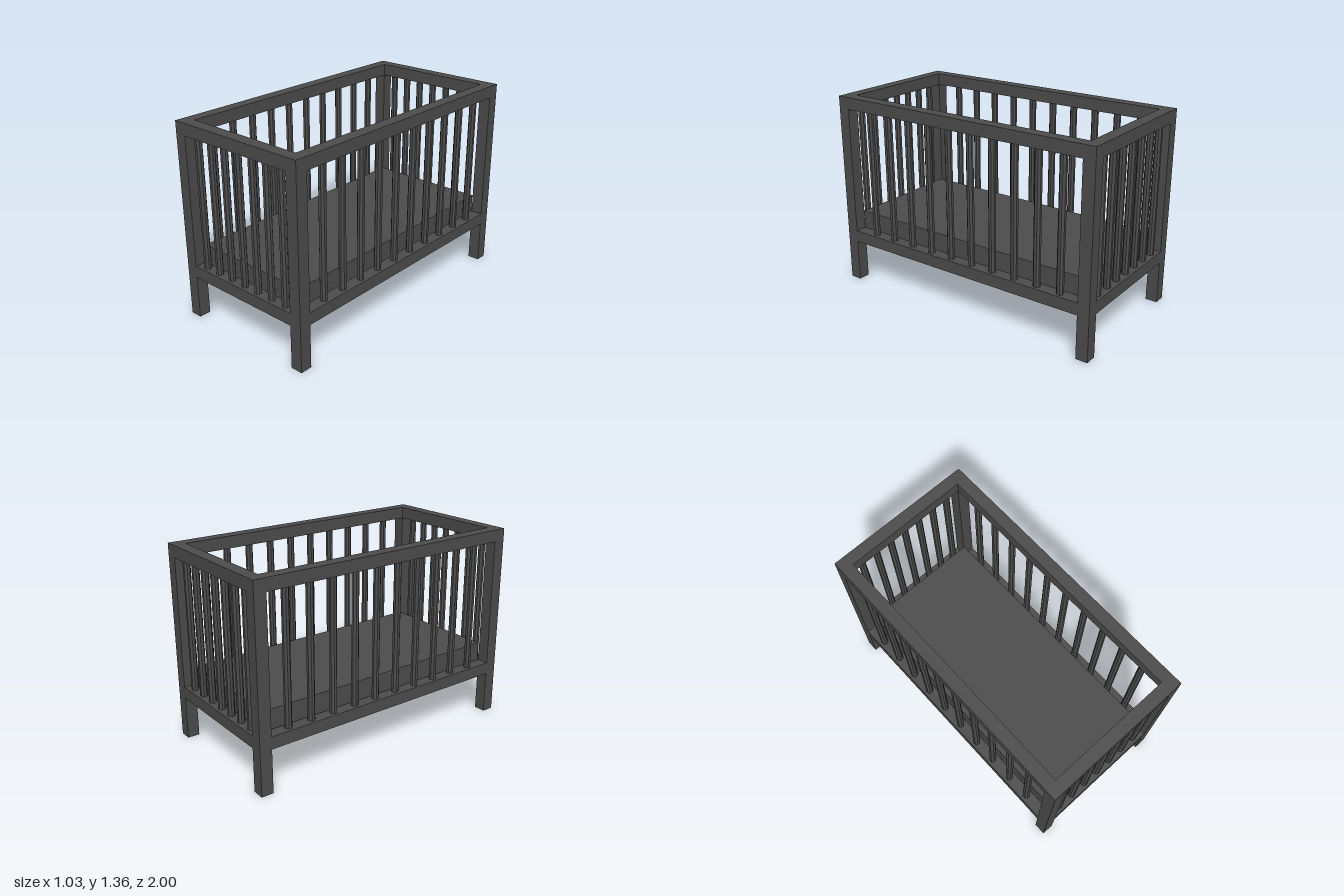
import * as THREE from 'three';

export function createModel() {
  const crib = new THREE.Group();
  crib.name = 'crib';
  const material = new THREE.MeshStandardMaterial({ color: 0x4d4d4d, flatShading: true });

  const W = 0.515, D = 1, H = 1.357;   // half width, half depth, height
  const T = 0.083;                     // post and rail thickness
  const px = W - T / 2, pz = D - T / 2; // post centre lines
  const railY = 0.298;                 // underside of the lower rails

  const add = (name, geometry, x, y, z) => {
    const mesh = new THREE.Mesh(geometry, material);
    mesh.name = name;
    mesh.position.set(x, y, z);
    crib.add(mesh);
  };

  // Corner posts
  const post = new THREE.BoxGeometry(T, H, T);
  for (const sx of [-1, 1]) for (const sz of [-1, 1]) add('cornerPost', post, sx * px, H / 2, sz * pz);

  // Upper and lower rails between the posts
  const sideRail = new THREE.BoxGeometry(T, T, 2 * (D - T));
  const endRail = new THREE.BoxGeometry(2 * (W - T), T, T);
  for (const [level, y] of [['upper', H - T / 2], ['lower', railY + T / 2]]) {
    for (const s of [-1, 1]) {
      add(level + 'SideRail', sideRail, s * px, y, 0);
      add(level + 'EndRail', endRail, 0, y, s * pz);
    }
  }

  // Eight-sided slats, running from the lower to the upper rails
  const slatBottom = railY + T, slatTop = H - T;
  const slat = new THREE.CylinderGeometry(0.0243, 0.0243, slatTop - slatBottom, 8);
  slat.rotateY(Math.PI / 8);
  const slatY = (slatBottom + slatTop) / 2;
  for (const s of [-1, 1]) {
    for (let i = 0; i < 10; i++) add('sideSlat', slat, s * px, slatY, 0.755 - i * 0.1695);
    for (let i = 0; i < 7; i++) add('endSlat', slat, 0.119 * (i - 3) - 0.002, slatY, s * pz);
  }

  // Mattress, its underside set slightly above the bottom of the rails
  const bottom = 0.315, top = 0.51;
  add('mattress', new THREE.BoxGeometry(0.856, top - bottom, 1.828), 0.004, (top + bottom) / 2, 0.002);

  return crib;
}
